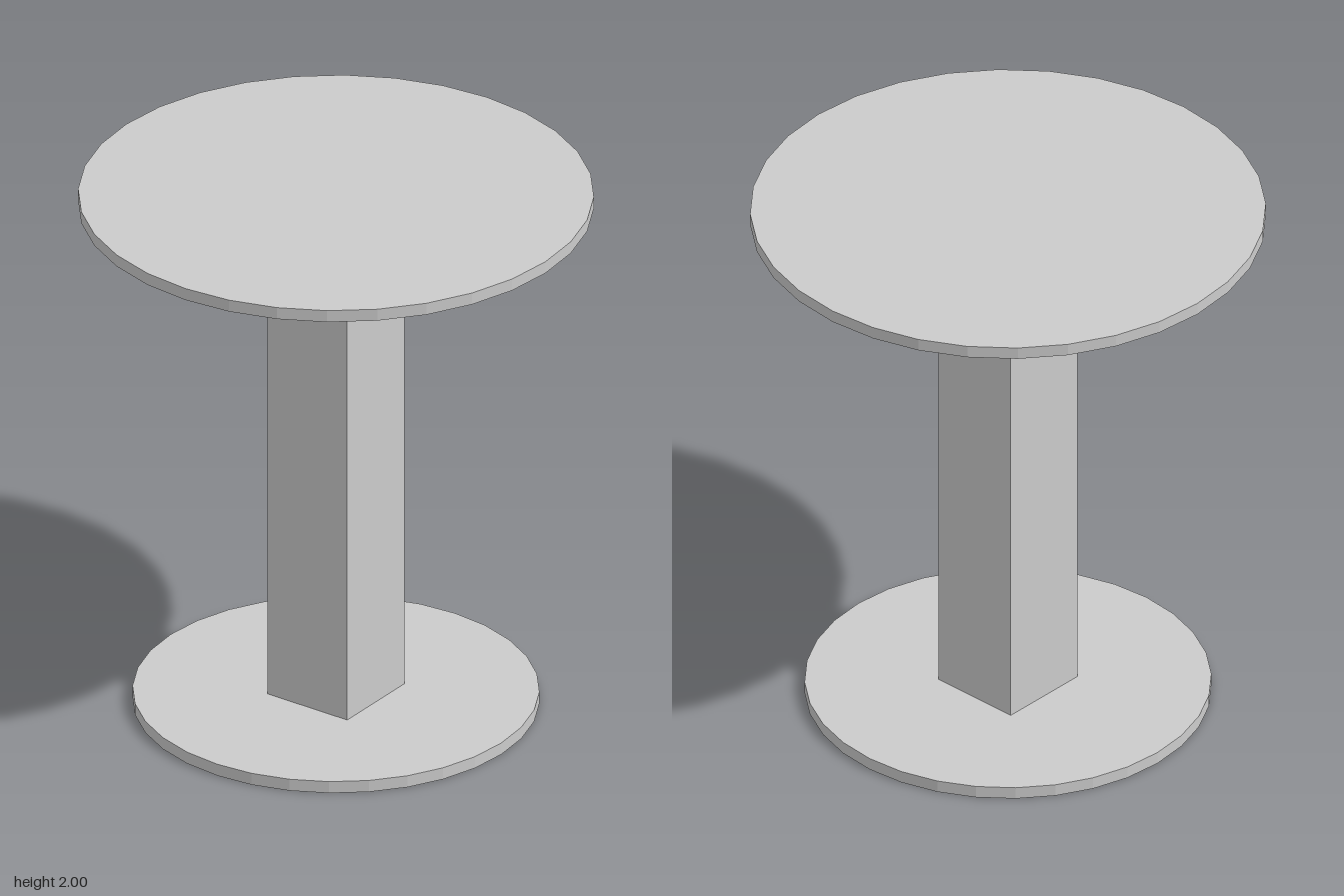
import * as THREE from 'three';

const material = new THREE.MeshStandardMaterial({ color: 0xcccccc, flatShading: true });

export function createModel() {
  const group = new THREE.Group();
  const thickness = 0.045;
  const height = 2;

  function add(name, geometry, y) {
    const mesh = new THREE.Mesh(geometry, material);
    mesh.name = name;
    mesh.position.y = y;
    group.add(mesh);
  }
  const disc = (radius) => new THREE.CylinderGeometry(radius, radius, thickness, 32);

  // Round base plate on the floor
  add('base', disc(0.714), thickness / 2);

  // Square column between the two plates
  add('column', new THREE.BoxGeometry(0.345, height - 2 * thickness, 0.345), height / 2);

  // Larger round table top
  add('tableTop', disc(0.905), height - thickness / 2);

  return group;
}
